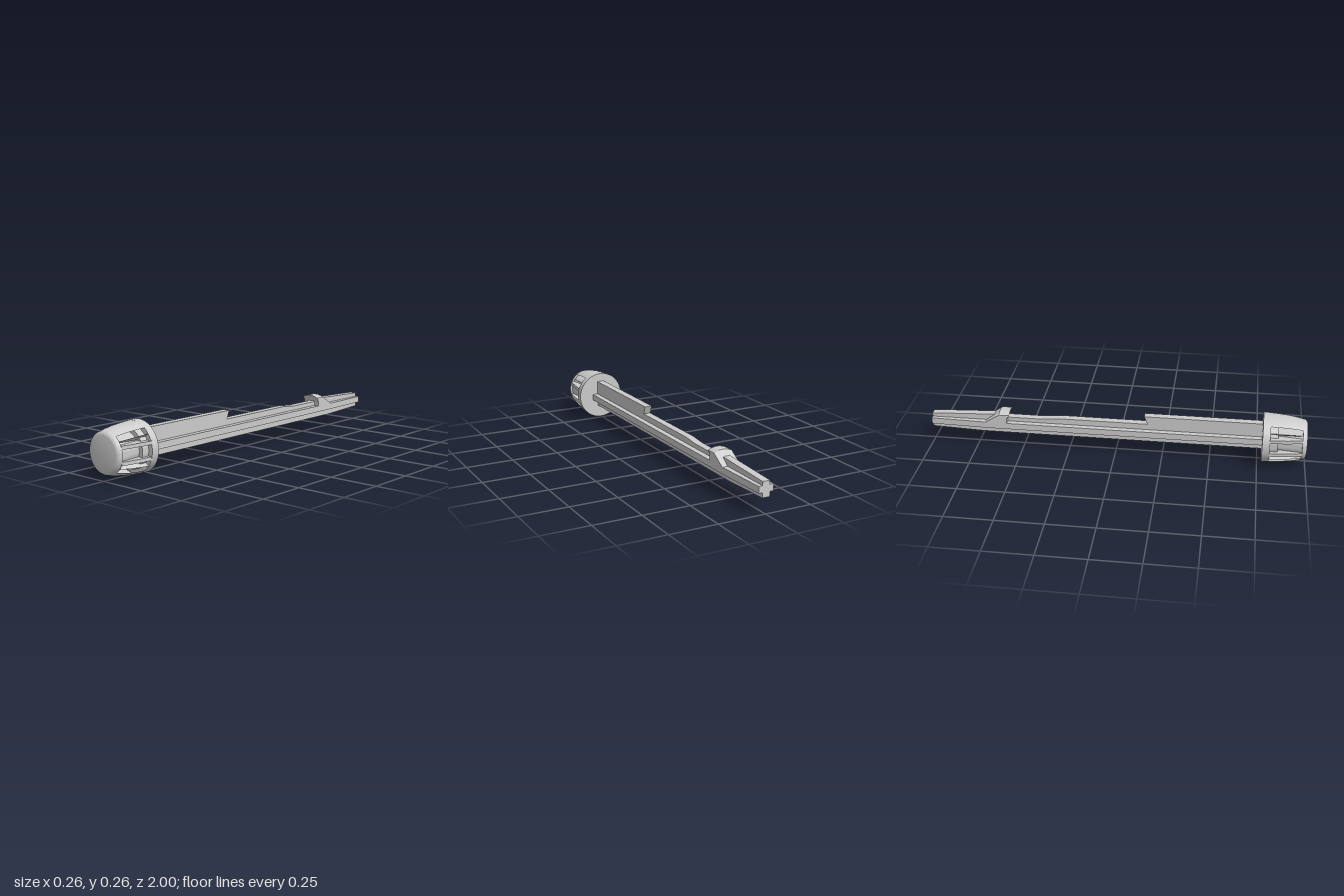
import * as THREE from 'three';
import { toCreasedNormals } from 'three/addons/utils/BufferGeometryUtils.js';

const CY = 0.131; // height of the head axis
const material = new THREE.MeshStandardMaterial({ color: 0xcccccc, side: THREE.DoubleSide });

const toShape = (pts) => new THREE.Shape(pts.map(([a, b]) => new THREE.Vector2(a, b)));

function add(parent, name, geometry) {
  const mesh = new THREE.Mesh(geometry, material);
  mesh.name = name;
  parent.add(mesh);
  return mesh;
}

// Side outline given as [z, y], extruded across x and centred
function sideExtrude(pts, width, steps = 1) {
  const g = new THREE.ExtrudeGeometry(toShape(pts), { depth: width, steps, bevelEnabled: false });
  return g.translate(0, 0, -width / 2).rotateY(-Math.PI / 2);
}

// Plan outline given as [x, z], extruded from y0 up to y1
function planExtrude(pts, y0, y1) {
  const g = new THREE.ExtrudeGeometry(toShape(pts), { depth: y1 - y0, bevelEnabled: false });
  return g.rotateX(Math.PI / 2).translate(0, y1, 0);
}

// Profile given as [radius, z], turned about the z axis; angle 0 points down
function turn(pts, segments, start = 0, sweep = Math.PI * 2) {
  const g = new THREE.LatheGeometry(pts.map(([r, z]) => new THREE.Vector2(r, z)), segments, start, sweep);
  return toCreasedNormals(g.rotateX(Math.PI / 2), 0.5);
}

function createHead() {
  const head = new THREE.Group();
  head.name = 'head';
  head.position.y = CY;

  // Flange, recessed core and rounded front cap
  add(head, 'headCore', turn([
    [0, 0.77], [0.131, 0.77], [0.129, 0.81], [0.105, 0.81], [0.105, 0.85], [0.083, 0.85],
    [0.095, 0.975], [0.107, 0.975], [0.105, 0.986], [0.101, 0.993], [0.095, 0.998], [0.087, 1], [0, 1],
  ], 72));

  // Solid outer shell above and below, leaving pockets at both sides
  const outer = [[0.129, 0.805], [0.126, 0.85], [0.121, 0.9], [0.114, 0.945], [0.107, 0.976]];
  const half = THREE.MathUtils.degToRad(37);
  for (const [name, mid] of [['lowerShell', 0], ['upperShell', Math.PI]]) {
    add(head, name, turn(outer, 24, mid - half, half * 2));
    for (const a of [mid - half, mid + half]) {
      const wall = new THREE.ShapeGeometry(toShape([[0.07, 0.805], ...outer, [0.07, 0.976]]));
      add(head, name + 'Wall', wall.rotateY(-Math.PI / 2).rotateY(a + Math.PI / 2).rotateX(Math.PI / 2));
    }
  }

  // Two horizontal ribs dividing the pockets on each side
  const rib = 0.038;
  const edge = outer.map(([r, z]) => [Math.sqrt(r * r - rib * rib), z]);
  for (const side of [-1, 1]) {
    for (const y of [-rib, rib]) {
      const pts = [[0.05, 0.805], ...edge, [0.05, 0.976]].map(([x, z]) => [x * side, z]);
      add(head, side > 0 ? 'leftRib' : 'rightRib', planExtrude(pts, y - 0.009, y + 0.009));
    }
  }
  return head;
}

function createShaft() {
  const shaft = new THREE.Group();
  shaft.name = 'shaft';

  // Upright web with a tall front part, undercut step and tapered tip
  add(shaft, 'uprightWeb', sideExtrude([
    [0.78, 0.07], [0.78, 0.216], [0.15, 0.216], [0.168, 0.172], [-0.3, 0.172], [-0.4, 0.163],
    [-0.58, 0.163], [-0.6, 0.175], [-0.66, 0.175], [-1, 0.16], [-1, 0.081], [-0.72, 0.07],
  ], 0.04));

  // Flat web crossing it
  const right = [[0.05, 0.78], [0.05, -0.7], [0.04, -1]];
  const left = right.map(([x, z]) => [-x, z]).reverse();
  add(shaft, 'flatWeb', planExtrude([...right, ...left], 0.106, 0.14));

  // Catch with an undercut front, sloped back and crowned top
  const catchGeometry = sideExtrude([
    [-0.585, 0.135], [-0.585, 0.165], [-0.57, 0.2], [-0.625, 0.2], [-0.705, 0.138], [-0.705, 0.135],
  ], 0.1, 10);
  const p = catchGeometry.attributes.position;
  for (let i = 0; i < p.count; i++) {
    if (p.getY(i) > 0.19) p.setY(i, p.getY(i) - 5 * p.getX(i) ** 2);
  }
  add(shaft, 'catch', toCreasedNormals(catchGeometry, 0.5));
  return shaft;
}

export function createModel() {
  const model = new THREE.Group();
  model.name = 'pushPin';
  model.add(createHead(), createShaft());
  return model;
}
